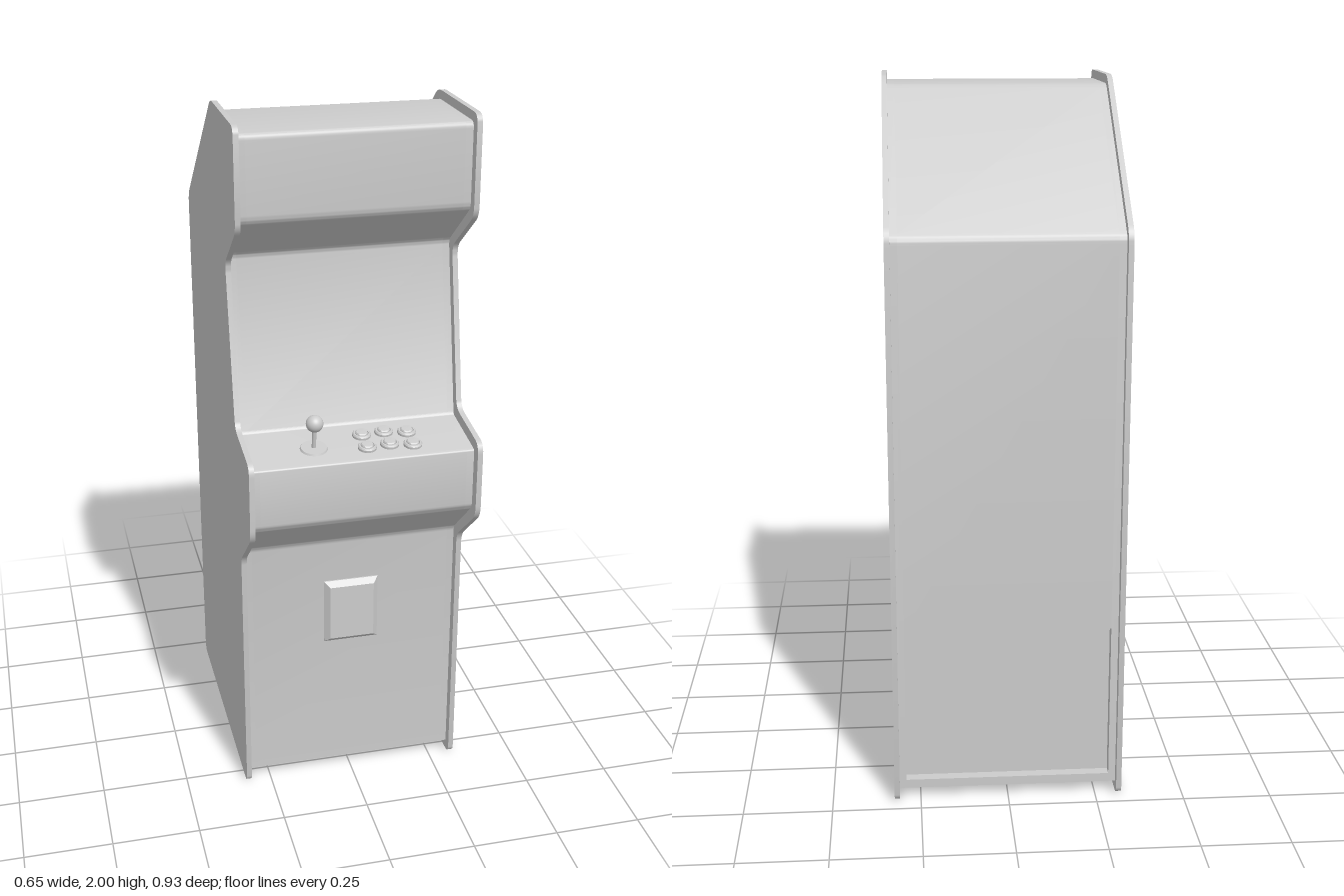
import * as THREE from 'three';
import { toCreasedNormals } from 'three/addons/utils/BufferGeometryUtils.js';

const material = new THREE.MeshStandardMaterial({ color: 0xcccccc });

function addMesh(parent, name, geometry, x = 0, y = 0, z = 0) {
  const mesh = new THREE.Mesh(geometry, material);
  mesh.name = name;
  mesh.position.set(x, y, z);
  parent.add(mesh);
  return mesh;
}

// Closed outline with softened corners; points are [z, y, optional radius]
function roundedShape(points, radius) {
  const shape = new THREE.Shape();
  const n = points.length;
  points.forEach((point, i) => {
    const p = new THREE.Vector2(point[0], point[1]);
    const r = point[2] ?? radius;
    const towards = (q) => new THREE.Vector2(q[0], q[1]).sub(p).setLength(r).add(p);
    const a = r ? towards(points[(i + n - 1) % n]) : p;
    const b = r ? towards(points[(i + 1) % n]) : p;
    if (i === 0) shape.moveTo(a.x, a.y);
    else shape.lineTo(a.x, a.y);
    if (r) shape.quadraticCurveTo(p.x, p.y, b.x, b.y);
  });
  shape.closePath();
  return shape;
}

// Side profile extruded across the cabinet width, centred on x = 0
function profileSlab(points, radius, width) {
  const geometry = new THREE.ExtrudeGeometry(roundedShape(points, radius), {
    depth: width, bevelEnabled: false, curveSegments: 6,
  });
  geometry.translate(0, 0, -width / 2).rotateY(-Math.PI / 2);
  return toCreasedNormals(geometry, 0.5);
}

export function createModel() {
  const model = new THREE.Group();
  model.name = 'arcadeCabinet';

  // Side panels standing proud of the body
  const panelProfile = [
    [0.312, 0], [-0.462, 0], [-0.462, 1.62], [0.01, 2], [0.35, 2], [0.35, 1.73],
    [0.18, 1.6], [0.268, 1.15], [0.465, 1.123], [0.465, 0.905], [0.312, 0.77],
  ];
  const panelGeometry = profileSlab(panelProfile, 0.03, 0.015);
  addMesh(model, 'leftSidePanel', panelGeometry, 0.3175);
  addMesh(model, 'rightSidePanel', panelGeometry, -0.3175);

  // Body: full profile at both edges, notched in the middle for the rear service recess
  const front = [
    [-0.437, 1.608], [0.02, 1.975], [0.322, 1.975], [0.322, 1.745], [0.15, 1.61],
    [0.245, 1.122, 0.008], [0.433, 1.095, 0.008], [0.433, 0.918], [0.284, 0.782], [0.284, 0.03, 0],
  ];
  const recess = [[-0.437, 0.055, 0], [-0.407, 0.055, 0], [-0.407, 0.505, 0], [-0.437, 0.505, 0]];
  const corner = [-0.437, 0.03, 0];
  addMesh(model, 'body', profileSlab([corner, ...recess, ...front], 0.018, 0.58));
  const edgeGeometry = profileSlab([corner, ...front], 0.018, 0.02);
  addMesh(model, 'leftBodyEdge', edgeGeometry, 0.3);
  addMesh(model, 'rightBodyEdge', edgeGeometry, -0.3);

  // Coin door with a bevelled border
  const plate = roundedShape([[-0.065, -0.085], [0.065, -0.085], [0.065, 0.085], [-0.065, 0.085]], 0);
  const door = new THREE.ExtrudeGeometry(plate, {
    depth: 0.004, bevelSize: 0.015, bevelThickness: 0.015, bevelSegments: 1,
  });
  addMesh(model, 'coinDoor', door, 0, 0.55, 0.286);

  // Controls, tilted to lie on the sloping deck
  const deck = new THREE.Group();
  deck.name = 'controls';
  deck.position.set(0, 1.107, 0.35);
  deck.rotation.x = Math.atan2(0.027, 0.188);
  model.add(deck);

  const joystick = new THREE.Group();
  joystick.name = 'joystick';
  joystick.position.x = -0.123;
  deck.add(joystick);
  addMesh(joystick, 'joystickBase', new THREE.CylinderGeometry(0.036, 0.039, 0.006, 32), 0, 0.002, 0);
  addMesh(joystick, 'joystickShaft', new THREE.CylinderGeometry(0.006, 0.006, 0.07, 16), 0, 0.035, 0);
  addMesh(joystick, 'joystickBall', new THREE.SphereGeometry(0.024, 32, 20), 0, 0.08, 0);

  // Six push buttons in two staggered rows, each a rim with a plunger
  const rimProfile = [[0.026, -0.004], [0.026, 0.006], [0.023, 0.01], [0.019, 0.01], [0.018, 0.003]]
    .map(([x, y]) => new THREE.Vector2(x, y));
  const rimGeometry = toCreasedNormals(new THREE.LatheGeometry(rimProfile, 28), 0.5);
  const capProfile = [[0.0175, -0.002], [0.0175, 0.011], [0.015, 0.014], [0, 0.015]]
    .map(([x, y]) => new THREE.Vector2(x, y));
  const capGeometry = toCreasedNormals(new THREE.LatheGeometry(capProfile, 28), 0.7);
  for (const rowOffset of [0, -0.064]) {
    for (const [x, z] of [[0.022, 0.023], [0.087, 0.017], [0.15, 0.029]]) {
      const button = new THREE.Group();
      button.name = 'button';
      button.position.set(x, 0, z + rowOffset);
      deck.add(button);
      addMesh(button, 'buttonRim', rimGeometry);
      addMesh(button, 'buttonCap', capGeometry);
    }
  }

  return model;
}
